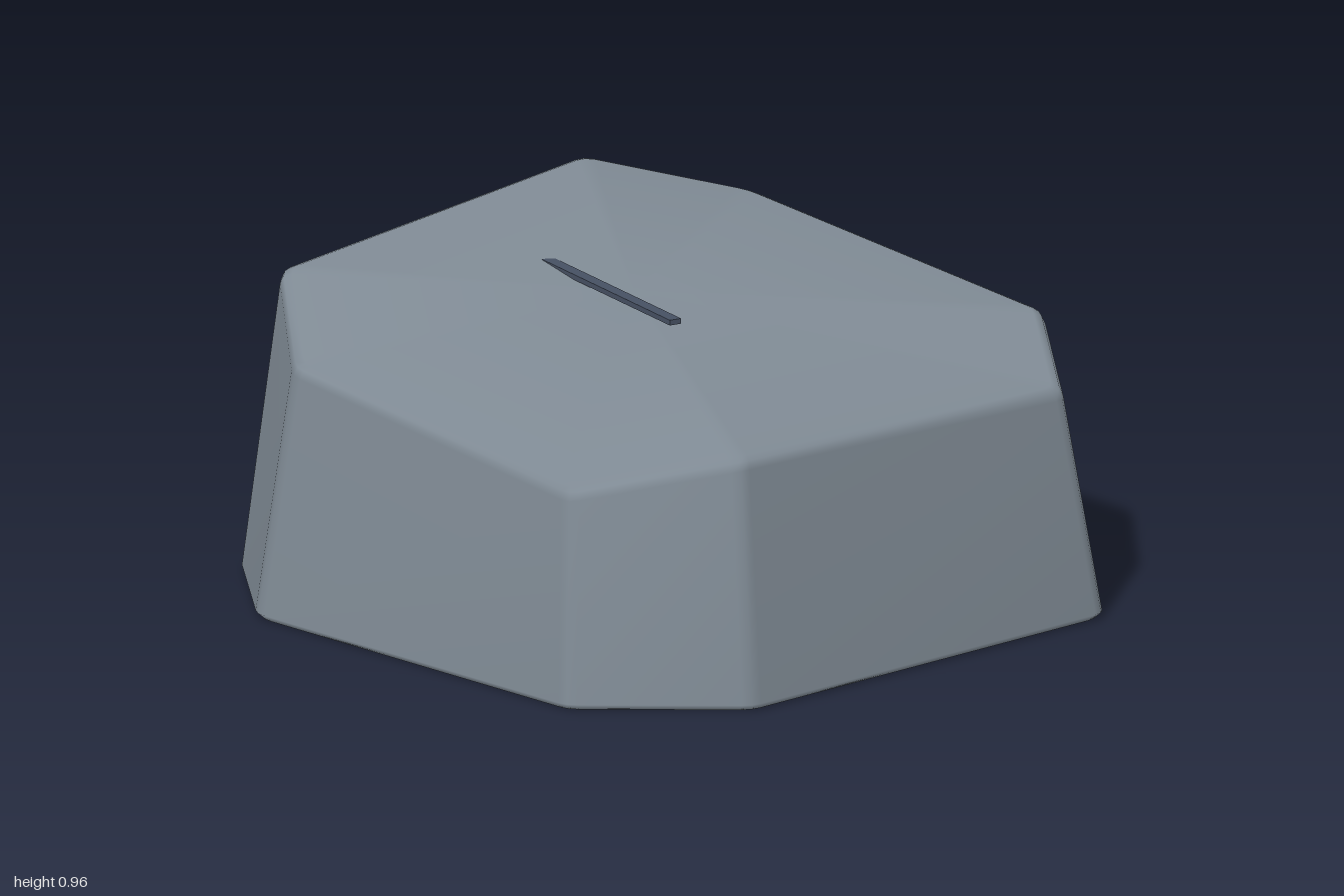
import * as THREE from 'three';

const V = (x, y, z) => new THREE.Vector3(x, y, z);
const BEVEL = 0.03;

// Point at a given distance from a towards b
const toward = (a, b, d) => a.clone().add(b.clone().sub(a).setLength(d));
// Middle of a rounded edge running a - corner - b
const soften = (a, corner, b) => a.clone().add(b).multiplyScalar(0.25).addScaledVector(corner, 0.5);

// Replace every corner of a loop by three points
function roundLoop(loop) {
  return loop.flatMap((p, i) => {
    const a = toward(p, loop[(i + loop.length - 1) % loop.length], BEVEL);
    const b = toward(p, loop[(i + 1) % loop.length], BEVEL);
    return [a, soften(a, p, b), b];
  });
}

// Eight-sided boulder with rounded edges and a slanted, fanned top
function boulderGeometry() {
  const base = [[-0.63, 1], [0.7, 1], [1, 0.6], [1, -0.7], [0.58, -1], [-0.68, -1], [-1, -0.6], [-1, 0.64]]
    .map(([x, z]) => V(x, 0, z));
  const top = [
    [-0.58, 0.69, 0.9], [0.64, 0.65, 0.9], [0.915, 0.75, 0.53], [0.915, 0.85, -0.64],
    [0.53, 0.968, -0.905], [-0.62, 0.872, -0.905], [-0.915, 0.725, -0.54], [-0.915, 0.595, 0.56],
  ].map((p) => V(...p));
  const peak = V(-0.06, 0.868, -0.08);
  const floor = V(0, 0, 0);

  const baseIn = base.map((p) => toward(p, floor, 0.02));
  const baseOut = base.map((p) => V(p.x, 0.018, p.z));
  const topOut = top.map((p, i) => toward(p, base[i], BEVEL));
  const topIn = top.map((p) => toward(p, peak, BEVEL));
  const topMid = top.map((p, i) => soften(topOut[i], p, topIn[i]));
  const rings = [baseIn, baseOut, topOut, topMid, topIn].map(roundLoop);

  const n = rings[0].length;
  const points = [...rings.flat(), peak, floor];
  const peakId = points.length - 2;
  const floorId = points.length - 1;
  const index = [];
  for (let j = 0; j < n; j++) {
    const k = (j + 1) % n;
    for (let r = 0; r < rings.length - 1; r++) {
      const lo = r * n;
      const hi = lo + n;
      index.push(lo + j, lo + k, hi + k, lo + j, hi + k, hi + j);
    }
    const last = (rings.length - 1) * n;
    index.push(last + j, last + k, peakId, k, j, floorId);
  }
  const geometry = new THREE.BufferGeometry().setFromPoints(points);
  geometry.setIndex(index);
  geometry.computeVertexNormals();
  return geometry;
}

export function createModel() {
  const stone = new THREE.MeshStandardMaterial({ color: 0x7f8a94 });
  stone.name = 'slate grey stone';
  const dark = new THREE.MeshStandardMaterial({ color: 0x465062 });
  dark.name = 'dark crack';

  const model = new THREE.Group();
  model.name = 'boulder';

  const body = new THREE.Mesh(boulderGeometry(), stone);
  body.name = 'stoneBody';
  model.add(body);

  // Thin level crack strip whose back end sinks into the rising top
  const start = V(-0.222, 0.881, 0.258);
  const end = V(-0.065, 0.881, -0.42);
  const crack = new THREE.Mesh(new THREE.BoxGeometry(0.036, 0.015, start.distanceTo(end)), dark);
  crack.name = 'crack';
  crack.position.copy(start).lerp(end, 0.5);
  crack.rotation.y = Math.atan2(start.x - end.x, start.z - end.z);
  model.add(crack);

  return model;
}
